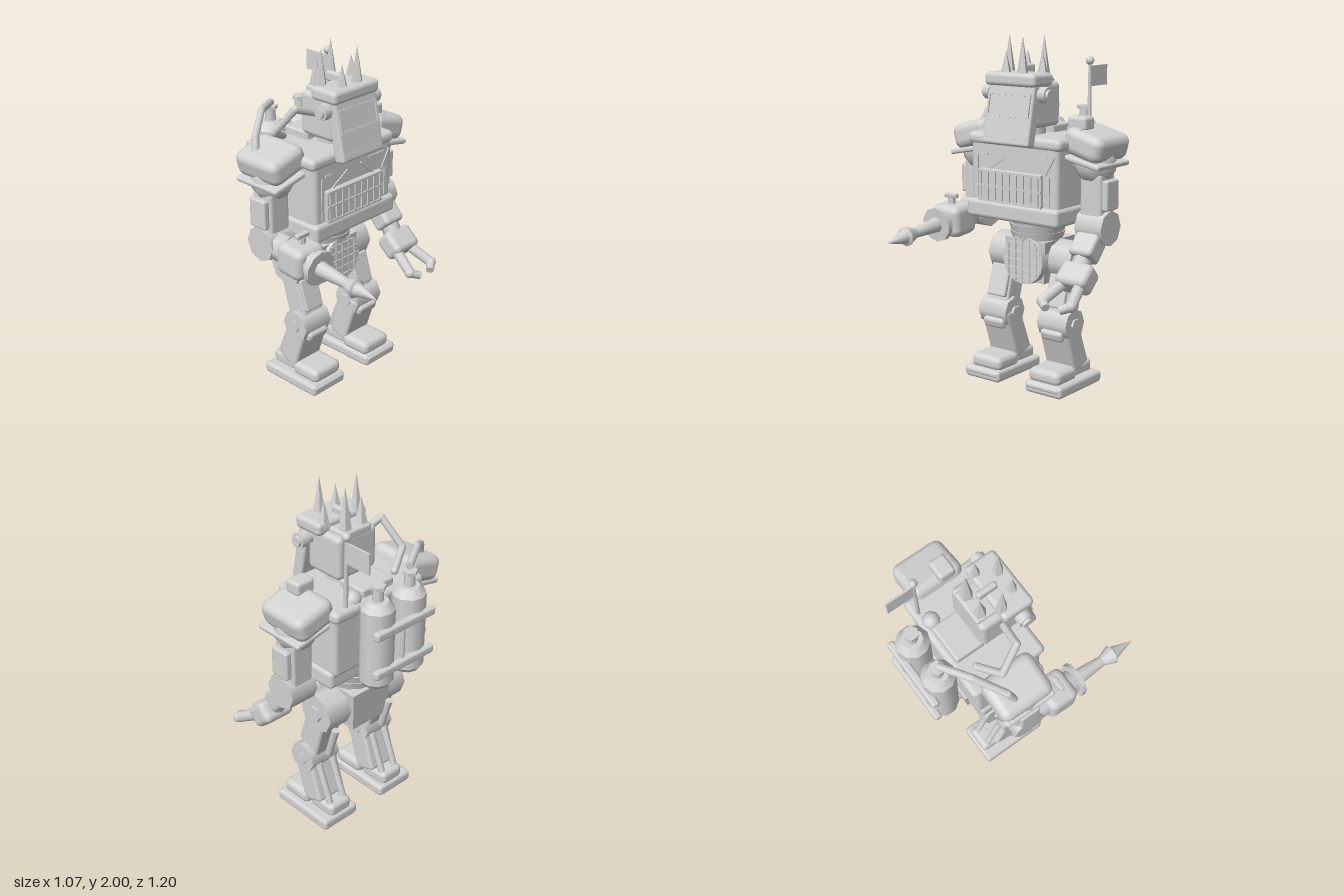
import * as THREE from 'three';
import { RoundedBoxGeometry } from 'three/addons/geometries/RoundedBoxGeometry.js';

const V = (p) => new THREE.Vector3(...p);

export function createModel() {
  const root = new THREE.Group();
  root.name = 'robot';
  const grey = new THREE.MeshStandardMaterial({ color: 0xd2d2d2 });
  grey.name = 'plain grey';

  const add = (name, geo, parent = root) => {
    const m = new THREE.Mesh(geo, grey);
    m.name = name;
    parent.add(m);
    return m;
  };
  // bevelled box: size, centre, edge radius, rotation
  const box = (name, s, p, r = 0.02, rot = [0, 0, 0], parent = root) => {
    const m = add(name, r ? new RoundedBoxGeometry(...s, 2, r) : new THREE.BoxGeometry(...s), parent);
    m.position.set(...p);
    m.rotation.set(...rot);
    return m;
  };
  // cylinder from point a (radius ra) to point b (radius rb), faceted when it has few sides
  const rod = (name, a, b, ra, rb = ra, sides = 8, parent = root) => {
    const d = V(b).sub(V(a));
    let g = new THREE.CylinderGeometry(rb, ra, d.length(), sides);
    if (sides < 8) {
      g = g.toNonIndexed();
      g.computeVertexNormals();
    }
    const m = add(name, g, parent);
    m.position.copy(V(a).add(V(b)).multiplyScalar(0.5));
    m.quaternion.setFromUnitVectors(new THREE.Vector3(0, 1, 0), d.normalize());
    return m;
  };
  const ball = (name, p, r, parent = root) => {
    const m = add(name, new THREE.SphereGeometry(r, 10, 8), parent);
    m.position.set(...p);
    return m;
  };
  // hose made of straight runs with round joints
  const hose = (name, pts, r) => {
    for (let i = 1; i < pts.length; i++) {
      rod(name, pts[i - 1], pts[i], r, r, 8);
      ball(name + 'Joint', pts[i], r);
    }
  };

  // Torso
  box('chest', [0.61, 0.4, 0.42], [0, 1.245, -0.175], 0.03);
  box('chestTop', [0.65, 0.07, 0.46], [0, 1.425, -0.185], 0.03);
  box('chestBase', [0.64, 0.105, 0.43], [0, 1.025, -0.155], 0.025);
  box('neckDeck', [0.23, 0.06, 0.18], [-0.01, 1.475, -0.29], 0.015);
  rod('neck', [0, 1.42, -0.12], [0, 1.56, -0.11], 0.1, 0.09, 10);
  box('grillePanel', [0.44, 0.19, 0.03], [-0.01, 1.165, 0.04], 0.008);
  for (const y of [1.08, 1.165, 1.25]) box('grilleRail', [0.44, 0.012, 0.012], [-0.01, y, 0.057], 0);
  for (let i = 0; i <= 8; i++) box('grilleBar', [0.01, 0.17, 0.012], [-0.21 + i * 0.05, 1.165, 0.057], 0);
  // trim strips on the chest: x, y, length, angle
  for (const [x, y, l, a] of [[-0.12, 1.29, 0.16, 0.55], [0.1, 1.3, 0.13, -0.75], [0.18, 1.355, 0.12, 0],
    [0.255, 1.31, 0.12, 1.05], [-0.25, 1.21, 0.24, 1.57], [0.25, 1.17, 0.16, 1.57], [-0.2, 1.34, 0.05, 0]])
    box('chestStrip', [l, 0.012, 0.012], [x, y, 0.036], 0, [0, 0, a]);

  // Waist and pelvis
  for (const [y, r] of [[0.96, 0.17], [0.915, 0.167], [0.87, 0.16], [0.825, 0.15]])
    rod('waistRing', [0, y - 0.025, -0.2], [0, y + 0.022, -0.2], r - 0.014, r, 14);
  const pelvisGeo = new THREE.CylinderGeometry(0.205, 0.165, 0.25, 4).rotateY(Math.PI / 4).toNonIndexed();
  pelvisGeo.computeVertexNormals();
  add('pelvis', pelvisGeo).position.set(0, 0.725, -0.22);
  rod('pelvisShield', [0, 0.735, -0.12], [0, 0.735, -0.055], 0.147, 0.142, 16);
  for (let i = -2; i <= 2; i++) {
    const l = 2 * Math.sqrt(0.135 ** 2 - (i * 0.05) ** 2);
    box('shieldBar', [0.008, l, 0.01], [i * 0.05, 0.735, -0.053], 0);
    box('shieldBar', [l, 0.008, 0.01], [0, 0.735 + i * 0.05, -0.053], 0);
  }

  // Head
  box('skull', [0.28, 0.25, 0.24], [-0.005, 1.625, -0.11], 0.03);
  const face = new THREE.Group();
  face.name = 'face';
  face.position.set(0, 1.575, 0.045);
  face.rotation.x = -0.2;
  root.add(face);
  box('faceMask', [0.32, 0.34, 0.07], [0, 0, 0], 0.015, [0, 0, 0], face);
  for (const s of [-1, 1]) {
    box('visorFrame', [0.29, 0.013, 0.014], [0, 0.05 + s * 0.06, 0.036], 0, [0, 0, 0], face);
    box('visorFrame', [0.013, 0.13, 0.014], [s * 0.14, 0.05, 0.036], 0, [0, 0, 0], face);
  }
  box('mouthLine', [0.29, 0.01, 0.01], [0, -0.13, 0.034], 0, [0, 0, 0], face);
  box('brow', [0.35, 0.075, 0.185], [-0.005, 1.767, -0.025], 0.025);
  box('crownBase', [0.2, 0.05, 0.2], [-0.005, 1.745, -0.13], 0.015);
  box('crest', [0.035, 0.06, 0.12], [-0.005, 1.815, -0.1], 0.015);
  [[0.05, 0.01], [-0.065, 0.01], [-0.12, -0.09], [-0.065, -0.185], [0.05, -0.185], [0.11, -0.09]].forEach(([x, z], i) =>
    rod('headSpike', [x, 1.77, z], [x, i % 2 ? 1.92 : 2, z], 0.037, 0.001, 5));
  for (const s of [-1, 1]) {
    rod('earBase', [s * 0.13, 1.69, -0.005], [s * 0.18, 1.69, -0.005], 0.036, 0.036, 10);
    rod('earCap', [s * 0.17, 1.69, -0.005], [s * 0.215, 1.69, -0.005], 0.046, 0.044, 10);
    rod('earBolt', [s * 0.215, 1.69, -0.005], [s * 0.23, 1.69, -0.005], 0.032, 0.03, 10);
  }
  hose('headHose', [[-0.12, 1.64, -0.1], [-0.285, 1.7, -0.12], [-0.33, 1.55, -0.24], [-0.2, 1.48, -0.31]], 0.021);
  hose('tankHose', [[-0.12, 1.61, -0.49], [-0.28, 1.63, -0.39], [-0.43, 1.55, -0.28], [-0.455, 1.47, -0.255]], 0.021);

  // Antenna with flag
  rod('antennaPole', [0.225, 1.4, -0.38], [0.225, 1.86, -0.38], 0.013, 0.009);
  ball('antennaTip', [0.225, 1.857, -0.38], 0.024);
  box('flag', [0.012, 0.115, 0.16], [0.225, 1.77, -0.465], 0);
  ball('antennaSocket', [0.15, 1.46, -0.35], 0.05);

  // Back tanks and rack
  for (const x of [-0.12, 0.11]) {
    rod('tank', [x, 1.03, -0.495], [x, 1.46, -0.495], 0.093, 0.093, 10);
    rod('tankTop', [x, 1.46, -0.495], [x, 1.505, -0.495], 0.093, 0.058, 10);
    rod('tankBottom', [x, 1.005, -0.495], [x, 1.03, -0.495], 0.075, 0.093, 10);
    rod('valveStem', [x, 1.5, -0.495], [x, 1.57, -0.495], 0.032, 0.028, 8);
    rod('valveCap', [x, 1.57, -0.495], [x, 1.59, -0.495], 0.042, 0.042, 6);
  }
  for (const y of [1.12, 1.355]) box('rackBar', [0.43, 0.05, 0.045], [-0.005, y, -0.58], 0.015);
  rod('rackPost', [-0.005, 1.1, -0.57], [-0.005, 1.37, -0.57], 0.013);

  // Parts shared by both sides
  for (const s of [-1, 1]) {
    const arm = new THREE.Group();
    arm.name = s > 0 ? 'leftUpperArm' : 'rightUpperArm';
    root.add(arm);
    box('shoulderPad', [0.255, 0.15, 0.32], [s * 0.395, 1.425, -0.203], 0.05, [0, 0, -s * 0.27], arm);
    box('shoulderPlate', [0.24, 0.03, 0.31], [s * 0.405, 1.335, -0.19], 0.012, [0, 0, -s * 0.2], arm);
    ball('shoulderJoint', [s * 0.4, 1.32, -0.19], 0.12, arm);
    rod('shoulderAxle', [s * 0.26, 1.33, -0.19], [s * 0.4, 1.33, -0.19], 0.08, 0.08, 8, arm);
    box('upperArm', [0.14, 0.28, 0.145], [s * 0.415, 1.13, -0.19], 0.02, [0, 0, 0], arm);
    box('armPlate', [0.04, 0.17, 0.12], [s * 0.5, 1.15, -0.19], 0.012, [0, 0, 0], arm);
    rod('elbow', [s * 0.335, 0.965, -0.185], [s * 0.51, 0.965, -0.185], 0.1, 0.1, 8, arm);

    const leg = new THREE.Group();
    leg.name = s > 0 ? 'leftLeg' : 'rightLeg';
    root.add(leg);
    const x = s * 0.21;
    rod('hip', [s * 0.13, 0.735, -0.22], [s * 0.29, 0.735, -0.22], 0.118, 0.118, 8, leg);
    rod('hipBolt', [s * 0.28, 0.735, -0.22], [s * 0.308, 0.735, -0.22], 0.048, 0.048, 6, leg);
    box('thigh', [0.15, 0.3, 0.13], [x, 0.575, -0.18], 0.018, [-0.26, 0, 0], leg);
    box('thighPlate', [0.13, 0.19, 0.03], [x, 0.575, -0.107], 0.01, [-0.3, 0, 0], leg);
    rod('knee', [s * 0.115, 0.39, -0.13], [s * 0.315, 0.39, -0.13], 0.092, 0.092, 8, leg);
    rod('kneeBolt', [s * 0.1, 0.39, -0.13], [s * 0.327, 0.39, -0.13], 0.037, 0.037, 6, leg);
    box('kneePad', [0.15, 0.065, 0.06], [x, 0.33, -0.067], 0.022, [0.32, 0, 0], leg);
    box('shin', [0.2, 0.31, 0.135], [x, 0.265, -0.16], 0.018, [0.32, 0, 0], leg);
    rod('thighPiston', [x, 0.62, -0.295], [x, 0.43, -0.24], 0.022, 0.022, 8, leg);
    for (const d of [-0.05, 0.05])
      rod('shinPiston', [x + d, 0.36, -0.21], [x + d, 0.1, -0.315], 0.02, 0.02, 8, leg);
    box('ankle', [0.16, 0.085, 0.185], [x, 0.095, -0.255], 0.03, [0, 0, 0], leg);
    box('sole', [0.255, 0.07, 0.415], [s * 0.222, 0.035, -0.153], 0.022, [0, 0, 0], leg);
    box('toeCap', [0.215, 0.085, 0.2], [x, 0.1, -0.065], 0.035, [0, 0, 0], leg);
    box('toeBumper', [0.23, 0.03, 0.03], [s * 0.222, 0.045, 0.045], 0.012, [0, 0, 0], leg);
  }

  // Left forearm with two-fingered claw
  box('shoulderBox', [0.12, 0.08, 0.1], [0.33, 1.535, -0.15], 0.02);
  box('shoulderBoxLip', [0.09, 0.02, 0.02], [0.335, 1.5, -0.09], 0);
  box('forearm', [0.15, 0.15, 0.125], [0.415, 0.86, -0.1], 0.025, [-0.75, 0, 0]);
  rod('wrist', [0.415, 0.83, -0.08], [0.415, 0.74, -0.02], 0.055);
  box('palm', [0.2, 0.15, 0.13], [0.42, 0.71, 0.005], 0.035, [-0.85, 0, 0]);
  for (const s of [-1, 1]) {
    const a = [0.415 + s * 0.055, 0.68, 0.05], b = [0.415 + s * 0.095, 0.605, 0.185], c = [0.415 + s * 0.045, 0.582, 0.222];
    rod('finger', a, b, 0.034, 0.031);
    ball('fingerJoint', b, 0.032);
    rod('fingertip', b, c, 0.029, 0.024);
  }

  // Right forearm with drill
  const drill = new THREE.Group();
  drill.name = 'drillArm';
  drill.position.set(-0.43, 0.94, 0.04);
  drill.rotation.x = 0.09;
  root.add(drill);
  box('drillHousing', [0.205, 0.185, 0.19], [0, 0, 0.005], 0.045, [0, 0, 0], drill);
  rod('forearmLink', [0, 0, -0.22], [0, 0, -0.08], 0.075, 0.085, 8, drill);
  // neck, guard disc, barrel, flare and bit: z start, z end, radii
  for (const [name, z0, z1, r0, r1] of [['drillNeck', 0.09, 0.14, 0.075, 0.065], ['guardDisc', 0.13, 0.16, 0.1, 0.1],
    ['drillBarrel', 0.155, 0.35, 0.045, 0.029], ['drillFlare', 0.34, 0.415, 0.03, 0.057], ['drillCollar', 0.415, 0.425, 0.057, 0.04],
    ['drillBit', 0.42, 0.56, 0.042, 0.001]])
    rod(name, [0, 0, z0], [0, 0, z1], r0, r1, 10, drill);
  rod('handleStem', [0, 0.07, 0.01], [0, 0.13, 0.01], 0.025, 0.02, 6, drill);
  box('handleBar', [0.09, 0.028, 0.03], [0, 0.14, 0.01], 0.008, [0, 0, 0], drill);
  return root;
}
